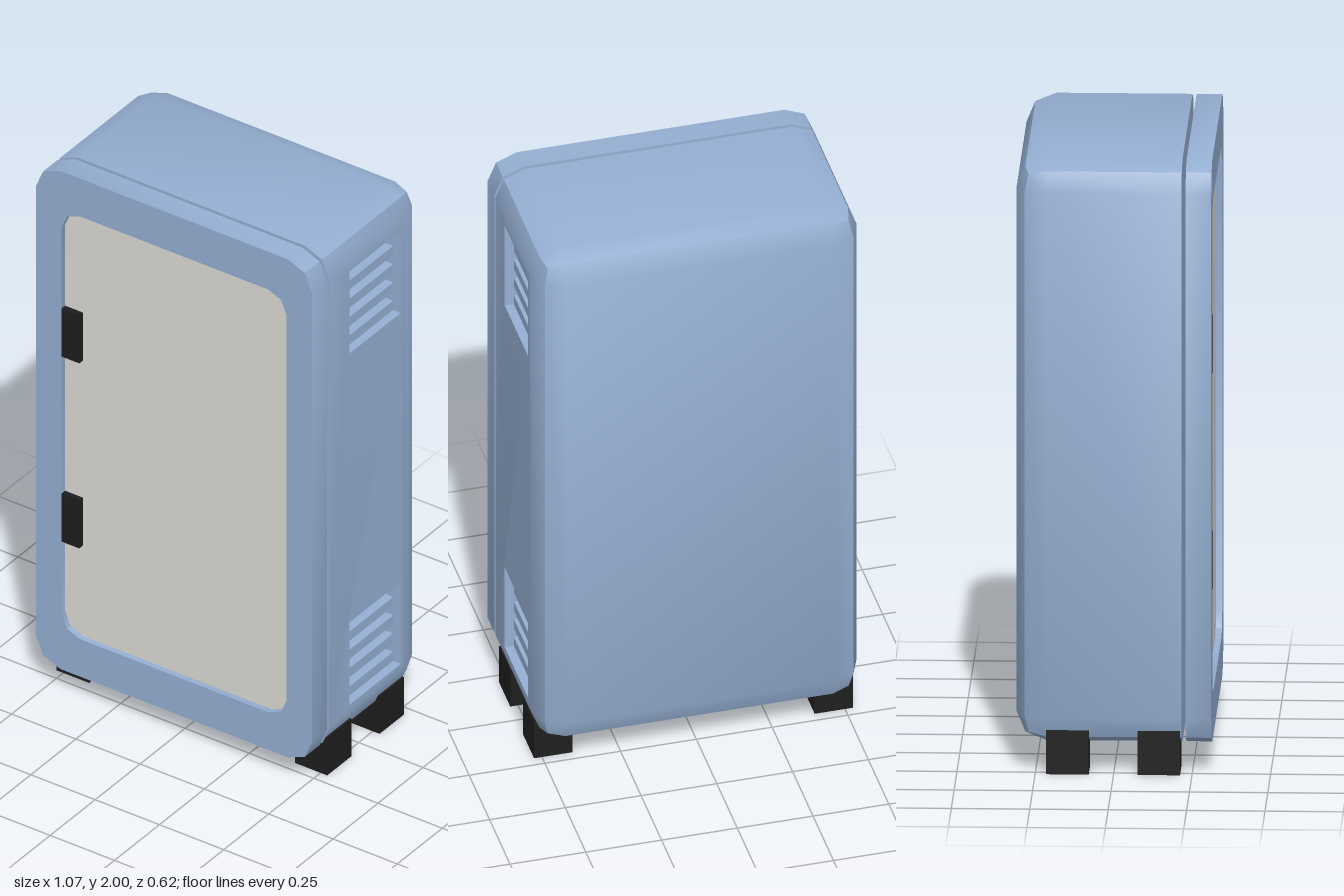
import * as THREE from 'three';
import { mergeGeometries, toCreasedNormals } from 'three/addons/utils/BufferGeometryUtils.js';

const W = 0.537, Y0 = 0.092, Y1 = 2, R = 0.095;
const BACK = -0.312, SEAM = 0.217, DOOR_BACK = 0.23, FRONT = 0.312;
const CREASE = Math.PI / 5;

// Rounded rectangle outline, two segments per corner, counter-clockwise from bottom right;
// mid is the radius used for the middle point of each corner
function outline(w, y0, y1, r, mid = r) {
  const pts = [];
  const corners = [[w - r, y0 + r], [w - r, y1 - r], [-w + r, y1 - r], [-w + r, y0 + r]];
  corners.forEach(([cx, cy], i) => {
    for (let k = 0; k <= 2; k++) {
      const a = (i - 1) * Math.PI / 2 + k * Math.PI / 4;
      const rad = k === 1 ? mid : r;
      pts.push(new THREE.Vector2(cx + rad * Math.cos(a), cy + rad * Math.sin(a)));
    }
  });
  return pts;
}

function rectPath(u0, u1, v0, v1) {
  return [[u0, v0], [u1, v0], [u1, v1], [u0, v1]].map(([u, v]) => new THREE.Vector2(u, v));
}

// Body shell: rounded rear edges, side openings on +x
function bodyGeometry(vents) {
  const pos = [];
  const tri = (a, b, c) => {
    const area = b.clone().sub(a).cross(c.clone().sub(a)).length();
    if (area > 1e-8) for (const p of [a, b, c]) pos.push(p.x, p.y, p.z);
  };
  const ring = (inset, z, mid) => outline(W - inset, Y0 + inset, Y1 - inset, R - inset, mid)
    .map(p => new THREE.Vector3(p.x, p.y, z));
  const k = R * (1 - Math.SQRT1_2);
  const rings = [ring(R, BACK), ring(k, BACK + k, R * Math.sqrt(2 / 3)), ring(0, BACK + R), ring(0, SEAM)];
  // Rear corner points lie on the sphere's diagonal
  for (let j = 1; j < 12; j += 3) rings[1][j].z = BACK + R - R / Math.sqrt(3);
  const n = rings[0].length;
  for (let i = 0; i < 3; i++) {
    for (let j = 0; j < n; j++) {
      if (i === 2 && j === 2) continue; // the +x side is made with openings below
      const a = rings[i][j], b = rings[i][(j + 1) % n];
      const c = rings[i + 1][(j + 1) % n], d = rings[i + 1][j];
      tri(a, b, c);
      tri(a, c, d);
    }
  }
  for (let j = 1; j < n - 1; j++) {
    tri(rings[0][0], rings[0][j + 1], rings[0][j]);
    tri(rings[3][0], rings[3][j], rings[3][j + 1]);
  }
  const shell = new THREE.BufferGeometry();
  shell.setAttribute('position', new THREE.Float32BufferAttribute(pos, 3));

  const side = new THREE.Shape(rectPath(-SEAM, -(BACK + R), Y0 + R, Y1 - R));
  for (const v of vents) side.holes.push(new THREE.Path(rectPath(-v.z1, -v.z0, v.y0, v.y1)));
  const panel = new THREE.ShapeGeometry(side).rotateY(Math.PI / 2).translate(W, 0, 0).toNonIndexed();
  panel.deleteAttribute('uv');
  panel.deleteAttribute('normal');
  return toCreasedNormals(mergeGeometries([shell, panel]), CREASE);
}

export function createModel() {
  const blue = new THREE.MeshStandardMaterial({ color: 0x95afd2 });
  blue.name = 'paintedBlue';
  const cream = new THREE.MeshStandardMaterial({ color: 0xdddbd3 });
  cream.name = 'panelGrey';
  const black = new THREE.MeshStandardMaterial({ color: 0x1e1e1e });
  black.name = 'blackRubber';

  const model = new THREE.Group();
  model.name = 'cabinet';
  const add = (name, geo, mat, parent = model) => {
    const mesh = new THREE.Mesh(geo, mat);
    mesh.name = name;
    parent.add(mesh);
    return mesh;
  };
  const box = (name, mat, x0, x1, y0, y1, z0, z1, parent = model) => {
    const geo = new THREE.BoxGeometry(x1 - x0, y1 - y0, z1 - z0);
    geo.translate((x0 + x1) / 2, (y0 + y1) / 2, (z0 + z1) / 2);
    return add(name, geo, mat, parent);
  };

  // Body
  const vents = [0.216, 1.561].map(y => ({ y0: y, y1: y + 0.315, z0: -0.182, z1: 0.103 }));
  add('body', bodyGeometry(vents), blue);

  // Vents: open, inward-facing pocket with five slats
  const depth = 0.1, recess = 0.03;
  for (const v of vents) {
    const vent = new THREE.Group();
    vent.name = 'sideVent';
    model.add(vent);
    const pocket = box('ventPocket', blue, W - depth, W, v.y0, v.y1, v.z0, v.z1, vent).geometry;
    pocket.setIndex(Array.from(pocket.index.array).slice(6).reverse()); // drop the outer face
    pocket.clearGroups();
    pocket.computeVertexNormals();
    const step = (v.y1 - v.y0) / 9;
    for (let i = 0; i < 9; i += 2) {
      box('ventSlat', blue, W - depth, W - recess, v.y0 + i * step, v.y0 + (i + 1) * step, v.z0, v.z1, vent);
    }
  }

  // Door frame, separated from the body by a narrow seam
  const frame = new THREE.Shape(outline(W, Y0, Y1, R));
  const opening = outline(0.437, 0.236, 1.855, 0.07);
  frame.holes.push(new THREE.Path(opening));
  const frameGeo = new THREE.ExtrudeGeometry(frame, { depth: FRONT - DOOR_BACK, bevelEnabled: false });
  add('doorFrame', toCreasedNormals(frameGeo.translate(0, 0, DOOR_BACK), CREASE), blue);

  // Door panel, set back inside the frame
  const panelGeo = new THREE.ExtrudeGeometry(new THREE.Shape(opening),
    { depth: FRONT - DOOR_BACK - 0.02, bevelEnabled: false });
  add('doorPanel', panelGeo.translate(0, 0, DOOR_BACK), cream);

  // Hinges
  for (const y of [0.674, 1.383]) {
    box('doorHinge', black, -0.437, -0.368, y - 0.092, y + 0.092, 0.27, FRONT);
  }

  // Feet
  for (const s of [-1, 1]) {
    for (const z of [0.144, -0.147]) {
      box('foot', black, s * 0.463 - 0.063, s * 0.463 + 0.063, 0, 0.143, z - 0.068, z + 0.068);
    }
  }
  return model;
}
